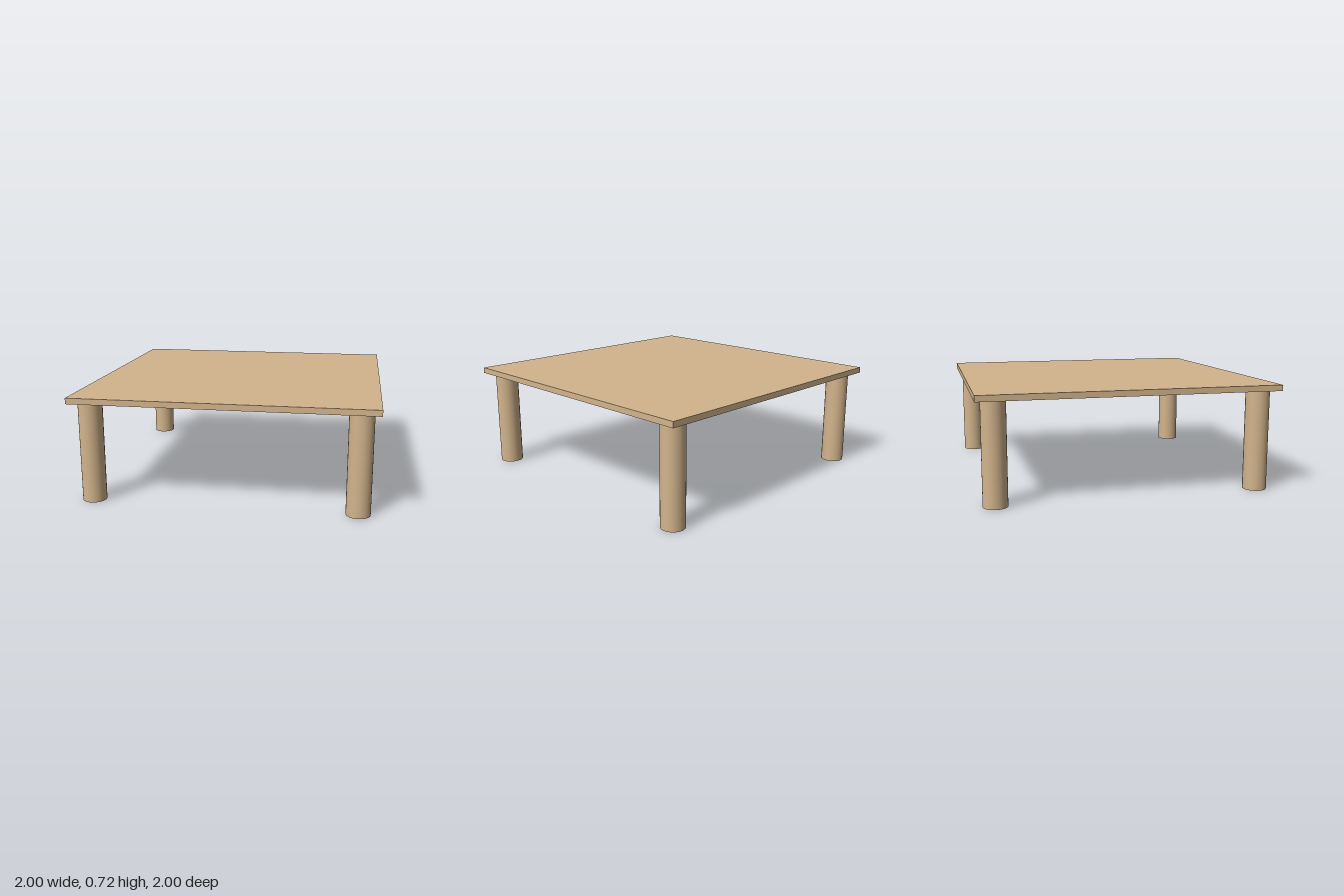
import * as THREE from 'three';

export function createModel() {
  const model = new THREE.Group();
  model.name = 'table';
  const wood = new THREE.MeshStandardMaterial({ color: 0xd2b48c });

  const topThickness = 0.04;
  const legHeight = 0.68;
  const legRadius = 0.08;
  const legOffset = 0.88;

  // Thin square top
  const top = new THREE.Mesh(new THREE.BoxGeometry(2, topThickness, 2), wood);
  top.name = 'tableTop';
  top.position.y = legHeight + topThickness / 2;
  model.add(top);

  // Round leg at each corner
  const legGeometry = new THREE.CylinderGeometry(legRadius, legRadius, legHeight, 32);
  for (const [zName, z] of [['front', 1], ['back', -1]]) {
    for (const [xName, x] of [['Left', 1], ['Right', -1]]) {
      const leg = new THREE.Mesh(legGeometry, wood);
      leg.name = `${zName}${xName}Leg`;
      leg.position.set(x * legOffset, legHeight / 2, z * legOffset);
      model.add(leg);
    }
  }

  return model;
}
